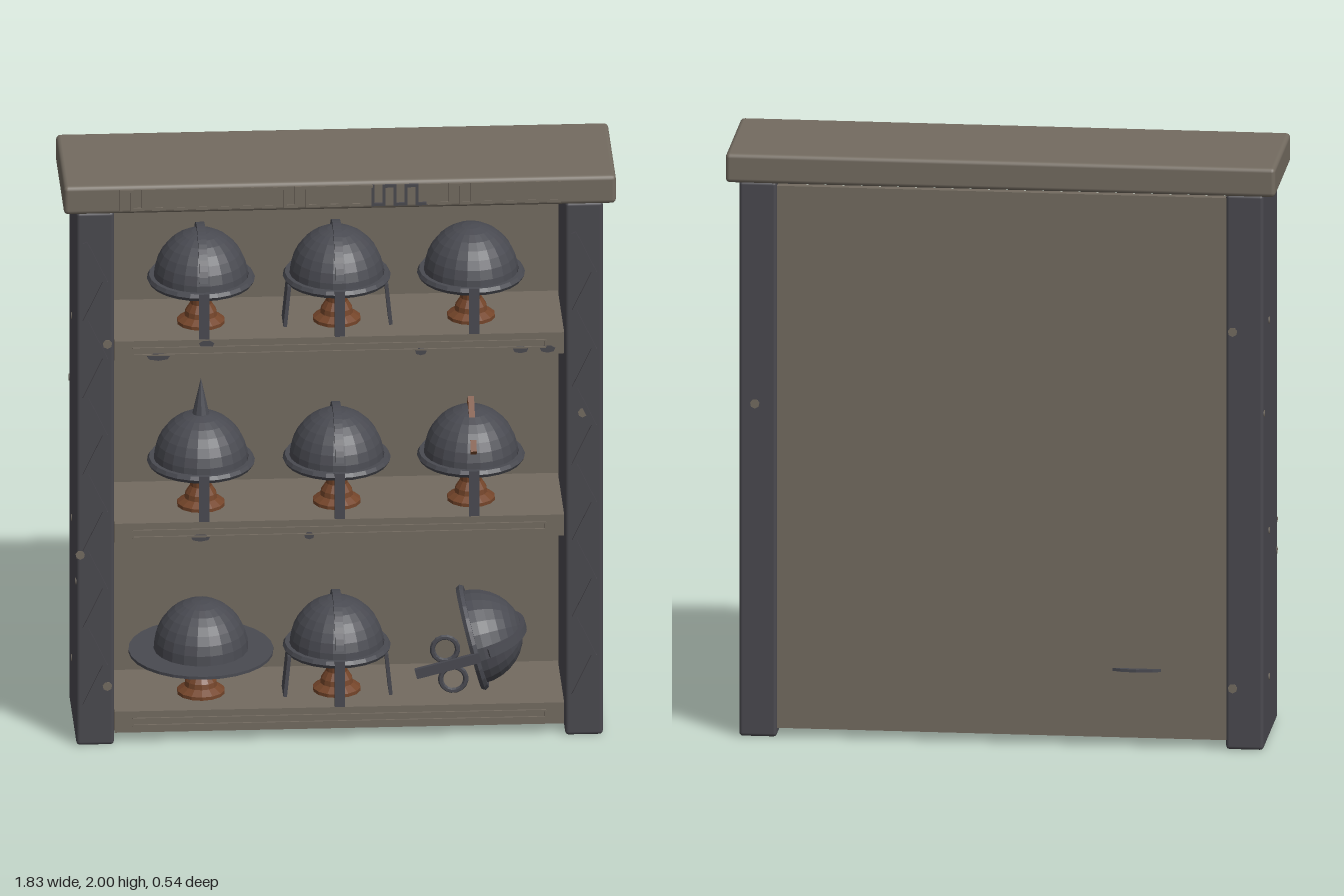
import * as THREE from 'three';
import { RoundedBoxGeometry } from 'three/addons/geometries/RoundedBoxGeometry.js';

const mat = (name, color, extra = {}) => {
  const m = new THREE.MeshStandardMaterial({ color, ...extra });
  m.name = name;
  return m;
};

export function createModel() {
  const stone = mat('warm stone', 0x736b60);
  const slate = mat('dark slate', 0x4a494f);
  const iron = mat('helmet iron', 0x494a51, { flatShading: true, side: THREE.DoubleSide });
  const wood = mat('stand wood', 0x74452a, { flatShading: true, side: THREE.DoubleSide });
  const root = new THREE.Group();
  root.name = 'helmetDisplayCabinet';

  const add = (parent, name, geo, material, x = 0, y = 0, z = 0) => {
    const m = new THREE.Mesh(geo, material);
    m.name = name;
    m.position.set(x, y, z);
    parent.add(m);
    return m;
  };
  const box = (parent, name, material, w, h, d, x, y, z) =>
    add(parent, name, new THREE.BoxGeometry(w, h, d), material, x, y, z);

  // Carcass: posts, cap, back panel
  add(root, 'capSlab', new RoundedBoxGeometry(1.83, 0.1, 0.48, 2, 0.015), stone, 0, 1.95, -0.03);
  for (const s of [-1, 1])
    add(root, 'sidePost', new RoundedBoxGeometry(0.125, 1.9, 0.43, 2, 0.012), slate, s * 0.81, 0.95, -0.025);
  box(root, 'backPanel', stone, 1.5, 1.855, 0.03, 0, 0.9575, -0.215);

  // Shelves with a raised border on the front edge
  const shelfTops = [1.43, 0.78, 0.11];
  for (const top of shelfTops) {
    const y = top - 0.037;
    box(root, 'shelf', stone, 1.49, 0.075, 0.39, 0, y, -0.025);
    for (const s of [-1, 1]) {
      box(root, 'shelfBorder', stone, 1.37, 0.005, 0.008, 0, y + s * 0.012, 0.172);
      box(root, 'shelfBorderEnd', stone, 0.005, 0.024, 0.008, s * 0.683, y, 0.172);
    }
  }

  // Zigzag carving on the posts
  for (const x0 of [-0.81, 0.81]) {
    const steps = 12, dx = 0.065, dy = 1.64 / steps;
    for (let i = 0; i < steps; i++) {
      const dir = i % 2 ? -1 : 1;
      const bar = box(root, 'zigzagCarving', slate, 0.016, Math.hypot(dx, dy) + 0.01, 0.01,
        x0, 1.79 - (i + 0.5) * dy, 0.192);
      bar.rotation.z = dir * Math.atan2(dx, dy);
    }
  }

  // Key-pattern frieze across the cap
  const ticks = 41, pitch = 1.49 / ticks;
  for (let i = 0; i < ticks; i++) {
    const x = -0.745 + (i + 0.5) * pitch;
    const m = x > 0.1 && x < 0.28 ? slate : stone;
    box(root, 'friezeBar', m, 0.01, 0.075, 0.008, x, 1.95, 0.212);
    if (i < ticks - 1)
      box(root, 'friezeLink', m, pitch, 0.01, 0.008, x + pitch / 2, 1.95 + (i % 2 ? -1 : 1) * 0.0325, 0.212);
  }

  // Worn patches: thin faceted discs; the axis is the way the patch faces
  const patch = (material, axis, r, x, y, z, stretch = 1) => {
    const p = add(root, 'wornPatch', new THREE.CylinderGeometry(r, r, 0.004, 7), material, x, y, z);
    p.scale.x = stretch;
    if (axis === 'z') p.rotation.x = Math.PI / 2;
    else p.rotation.z = Math.PI / 2;
  };
  for (const [x, y] of [[-0.77, 1.43], [-0.86, 0.68], [-0.77, 0.21], [0.805, 1.15]])
    patch(stone, 'z', 0.016, x, y, 0.19);
  for (const [z, y, r] of [[0.12, 1.43, 0.016], [-0.03, 1.15, 0.025], [0.08, 0.71, 0.021], [0.12, 0.21, 0.016]])
    patch(stone, 'x', r, 0.873, y, z);
  for (const [z, y] of [[-0.07, 1.43], [-0.22, 1.15], [-0.07, 0.71], [-0.07, 0.21], [0.17, 0.58]])
    patch(stone, 'x', 0.012, -0.873, y, z);
  for (const [x, y] of [[-0.77, 1.43], [-0.77, 0.21], [0.82, 1.14]])
    patch(stone, 'z', 0.016, x, y, -0.241);
  for (const [x, y, w] of [[-0.44, 1.415, 2], [-0.6, 1.373, 3], [0.27, 1.373, 1.5], [0.6, 1.373, 2],
    [0.69, 1.373, 2], [-0.46, 0.725, 2.5], [-0.1, 0.725, 1.3]])
    patch(slate, 'z', 0.013, x, y, 0.171, w);

  // Shared helmet geometry
  const domeGeo = new THREE.SphereGeometry(1, 22, 8, 0, Math.PI * 2, 0, Math.PI / 2);
  domeGeo.scale(0.157, 0.168, 0.172);
  const rimGeo = new THREE.TorusGeometry(0.165, 0.014, 6, 24);
  rimGeo.rotateX(Math.PI / 2);
  rimGeo.scale(1, 1, 1.08);
  const standGeo = new THREE.LatheGeometry([[0, 0], [0.08, 0], [0.08, 0.012], [0.055, 0.028], [0.052, 0.045],
    [0.036, 0.07], [0.036, 0.11], [0.055, 0.135], [0.06, 0.19], [0, 0.2]].map(p => new THREE.Vector2(...p)), 14);

  // Comb: an arc of strap running front to back over the dome
  const combShape = new THREE.Shape();
  const a = 0.27;
  combShape.absellipse(0, 0, 0.19, 0.182, a, Math.PI - a, false, 0);
  combShape.absellipse(0, 0, 0.165, 0.16, Math.PI - a, a, true, 0);
  const combGeo = new THREE.ExtrudeGeometry(combShape, { depth: 0.028, bevelEnabled: false, curveSegments: 12 });
  combGeo.translate(0, 0, -0.014);
  combGeo.rotateY(Math.PI / 2);

  // Folded plume: tent-shaped strip
  const plumeShape = new THREE.Shape([[-0.17, 0.075], [0, 0.205], [0.17, 0.075], [0.15, 0.05], [0, 0.165], [-0.15, 0.05]]
    .map(p => new THREE.Vector2(...p)));
  const plumeGeo = new THREE.ExtrudeGeometry(plumeShape, { depth: 0.02, bevelEnabled: false });
  plumeGeo.translate(0, 0, -0.01);
  plumeGeo.rotateY(Math.PI / 2);

  const helmet = (name, x, y, o) => {
    const g = new THREE.Group();
    g.name = name;
    g.position.set(x, y, 0.01);
    root.add(g);
    add(g, 'dome', domeGeo, iron);
    if (o.brim) {
      const brim = add(g, 'wideBrim', new THREE.CylinderGeometry(0.24, 0.24, 0.01, 28), iron, 0, -0.008, 0);
      brim.scale.z = 1.07;
    } else add(g, 'rim', rimGeo, iron);
    if (o.nasal) box(g, 'nasalBar', iron, 0.034, o.nasal, 0.015, 0, 0.015 - o.nasal / 2, 0.187);
    if (o.comb) add(g, 'comb', combGeo, iron);
    if (o.spike) add(g, 'spike', new THREE.ConeGeometry(0.032, 0.14, 10), iron, 0, 0.22, 0);
    if (o.plume) add(g, 'plume', plumeGeo, wood);
    for (const s of [-1, 1]) {
      if (o.cheeks) {
        const c = box(g, 'cheekGuard', iron, 0.012, 0.145, 0.1, s * 0.168, -0.08, 0.03);
        c.rotation.z = s * 0.1;
      }
      if (o.eyes) add(g, 'eyeRing', new THREE.TorusGeometry(0.042, 0.009, 6, 16), iron, s * 0.055, -0.09, 0.175);
    }
    return g;
  };

  // Three rows of three helmets, most on turned stands
  const columns = [-0.45, 0, 0.445];
  const rows = [
    [{ nasal: 0.16, comb: 1 }, { nasal: 0.16, comb: 1, cheeks: 1 }, { nasal: 0.16 }],
    [{ nasal: 0.16, spike: 1 }, { nasal: 0.16, comb: 1 }, { nasal: 0.16, plume: 1 }],
    [{ brim: 1 }, { nasal: 0.16, comb: 1, cheeks: 1 }, { nasal: 0.22, comb: 1, eyes: 1, fallen: 1 }],
  ];
  rows.forEach((row, r) => row.forEach((o, c) => {
    const top = shelfTops[r];
    if (o.fallen) {
      helmet('fallenHelmet', 0.45, 0.285, o).rotation.z = -1.32;
      return;
    }
    add(root, 'helmetStand', standGeo, wood, columns[c], top, 0.01);
    helmet('helmet', columns[c], top + 0.16, o);
  }));
  return root;
}
